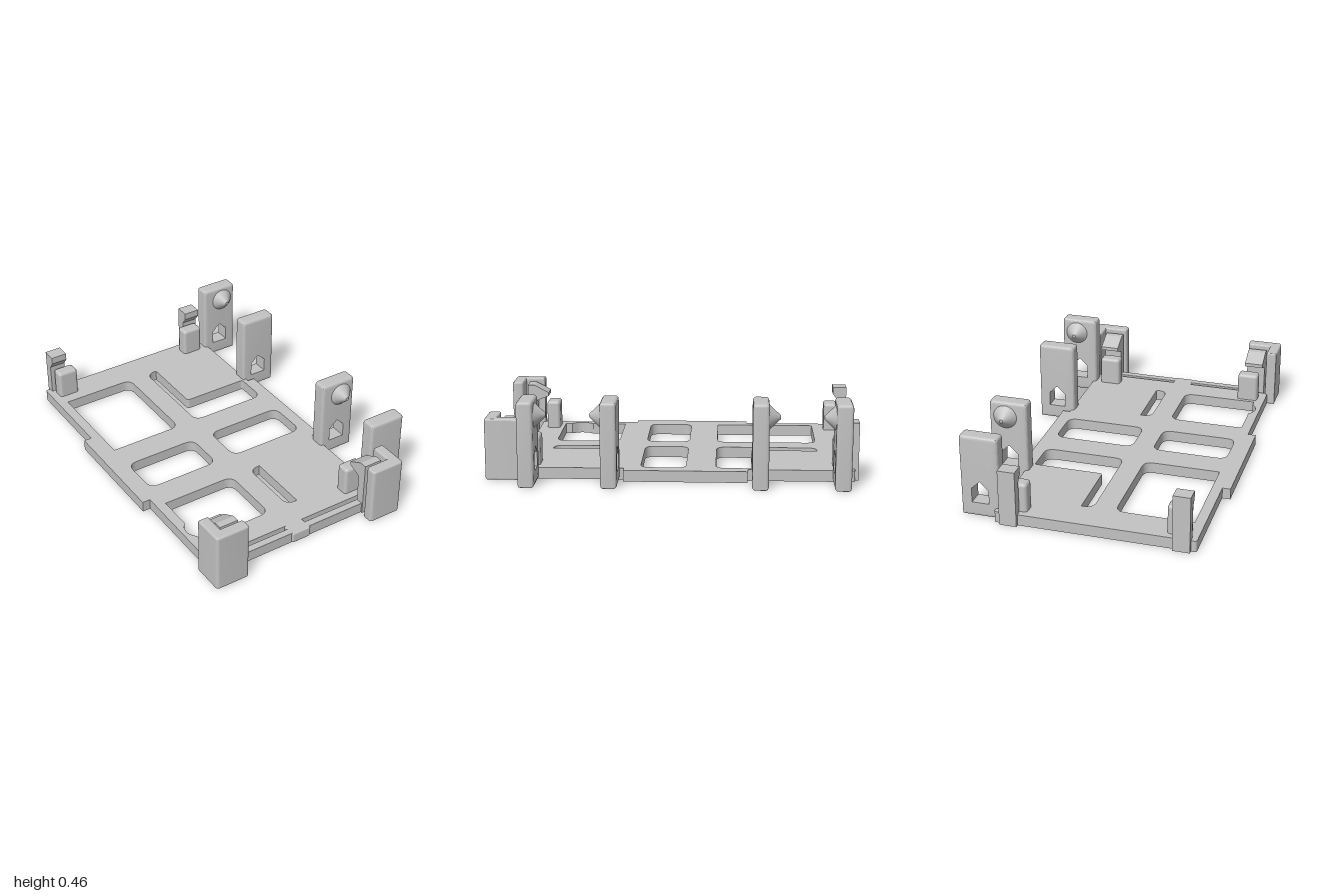
import * as THREE from 'three';
import { toCreasedNormals } from 'three/addons/utils/BufferGeometryUtils.js';
import { RoundedBoxGeometry } from 'three/addons/geometries/RoundedBoxGeometry.js';

const grey = new THREE.MeshStandardMaterial({ color: 0xc2c2c2 });
grey.name = 'grey plastic';

// Trace corners [x, y, radius] into a shape or path
function trace(path, corners) {
  const n = corners.length;
  const toward = (a, b, r) => {
    const d = Math.hypot(b[0] - a[0], b[1] - a[1]);
    return [a[0] + (b[0] - a[0]) * r / d, a[1] + (b[1] - a[1]) * r / d];
  };
  corners.forEach((c, i) => {
    const r = c[2] || 0;
    const p = toward(c, corners[(i + n - 1) % n], r);
    const q = toward(c, corners[(i + 1) % n], r);
    if (i === 0) path.moveTo(...p); else path.lineTo(...p);
    if (r) path.quadraticCurveTo(c[0], c[1], ...q);
  });
  return path;
}

// Smooth the rounded corners only; enlarged meanwhile so tiny edges stay distinct
const crease = (g) => toCreasedNormals(g.scale(100, 100, 100), 0.25).scale(0.01, 0.01, 0.01);

// Extrude with an optional soft edge that stays inside the outline
function slab(shape, depth, bevel = 0) {
  const g = new THREE.ExtrudeGeometry(shape, {
    depth: depth - 2 * bevel, curveSegments: 8, bevelEnabled: bevel > 0,
    bevelSize: bevel, bevelThickness: bevel, bevelOffset: -bevel, bevelSegments: 3,
  });
  return crease(g.translate(0, 0, bevel));
}

// Tower panel: layers of an extrusion are inset towards both faces to round
// the outer edge, while the gabled opening stays straight
function towerPanel(depth, bevel) {
  const [x0, x1, top] = [0.447, 0.659, 0.46];
  const shape = trace(new THREE.Shape(),
    [[x0, 0, 0.005], [x1, 0, 0.005], [x1, top, 0.018], [x0, top, 0.018]]);
  shape.holes.push(trace(new THREE.Path(),
    [[0.505, 0.08], [0.505, 0.16], [0.5525, 0.205], [0.6, 0.16], [0.6, 0.08]]));
  const g = new THREE.ExtrudeGeometry(shape, { depth: 7, steps: 7, curveSegments: 8, bevelEnabled: false });
  const p = g.attributes.position;
  const cx = (x0 + x1) / 2, cy = top / 2;
  for (let i = 0; i < p.count; i++) {
    const x = p.getX(i), y = p.getY(i), layer = Math.round(p.getZ(i));
    const a = Math.min(layer, 7 - layer) / 3 * Math.PI / 2;
    const z = bevel * (1 - Math.cos(a));
    const inset = bevel * (1 - Math.sin(a));
    const inOpening = x > 0.5 && x < 0.605 && y > 0.07 && y < 0.21;
    const k = inOpening ? 0 : inset;
    p.setXYZ(i, cx + (x - cx) * (1 - k / (x1 - cx)), cy + (y - cy) * (1 - k / cy),
      layer < 4 ? z : depth - z);
  }
  return crease(g);
}

// Floor-plan outline in (x, z), raised along y
const plan = (pts) => pts.map(([x, z, r]) => [x, -z, r]);
const rect = (x0, x1, z0, z1, rl, rr) =>
  [[x0, z0, rl], [x1, z0, rr], [x1, z1, rr], [x0, z1, rl]];

export function createModel() {
  const root = new THREE.Group();
  const add = (name, geometry, parent = root) => {
    const mesh = new THREE.Mesh(geometry, grey);
    mesh.name = name;
    parent.add(mesh);
    return mesh;
  };
  const box = (name, x0, x1, y0, y1, z0, z1, r) =>
    add(name, new RoundedBoxGeometry(x1 - x0, y1 - y0, z1 - z0, 3, r))
      .position.set((x0 + x1) / 2, (y0 + y1) / 2, (z0 + z1) / 2);

  // Base plate (outline anticlockwise) with six windows (clockwise)
  const plate = trace(new THREE.Shape(), plan([
    [-0.615, -0.98, 0.015], [-0.615, -0.407], [-0.66, -0.407], [-0.66, 0.258],
    [-0.615, 0.258], [-0.615, 0.835], [0.467, 0.835], [0.467, 0.258],
    [0.51, 0.258], [0.51, -0.407], [0.467, -0.407], [0.467, -0.98, 0.015],
  ]));
  const R = 0.055;
  plate.holes = [
    rect(-0.56, -0.135, -0.80, -0.235, 0, R),
    [[-0.015, -0.80, R], [0.05, -0.80], [0.05, -0.43, 0.015], [0.44, -0.43, 0.015],
      [0.44, -0.235, R], [-0.015, -0.235, R]],
    rect(-0.56, -0.135, -0.075, 0.17, R, R),
    rect(-0.015, 0.44, -0.075, 0.17, R, R),
    [[-0.56, 0.33], [-0.135, 0.33, R], [-0.135, 0.692, R], [-0.56, 0.692],
      [-0.56, 0.655], [-0.588, 0.615, 0.02], [-0.588, 0.565, 0.02], [-0.56, 0.525]],
    rect(-0.015, 0.05, 0.33, 0.692, R, 0),
  ].map((h) => trace(new THREE.Path(), plan(h)));
  add('basePlate', slab(plate, 0.062).rotateX(-Math.PI / 2));

  // Springy front bar and its centre tab
  box('frontBar', -0.56, 0.41, 0, 0.062, 0.86, 0.902, 0.003);
  box('frontTab', -0.132, -0.016, 0, 0.062, 0.80, 0.912, 0.01);

  // L-shaped front corner guards, mirrored about the plate's centre line
  const mid = -0.075;
  for (const s of [-1, 1]) {
    const pts = [[0.585, 0.822, 0.005], [0.585, 1, 0.02], [0.39, 1, 0.02],
      [0.39, 0.935, 0.02], [0.525, 0.935], [0.525, 0.822, 0.005]];
    const outline = trace(new THREE.Shape(), plan(pts.map(([x, z, r]) => [mid + s * x, z, r])));
    add(s < 0 ? 'rightCornerGuard' : 'leftCornerGuard',
      slab(outline, 0.335, 0.01).rotateX(-Math.PI / 2));
  }

  // Support posts near the four corners
  for (const x of [-0.57, 0.298]) {
    for (const z of [-0.943, 0.715]) {
      box('supportPost', x, x + 0.12, 0.02, 0.222, z, z + 0.077, 0.018);
    }
  }

  // Snap hooks, profiles in (z, y)
  const hook = (name, profile, x0, x1) => {
    const g = slab(trace(new THREE.Shape(), profile), x1 - x0);
    add(name, g.rotateY(-Math.PI / 2).translate(x1, 0, 0));
  };
  const frontHook = [[0.86, 0], [0.91, 0], [0.91, 0.315], [0.87, 0.315],
    [0.785, 0.27], [0.785, 0.25], [0.86, 0.22]];
  const backHook = [[-1, 0], [-0.95, 0], [-0.95, 0.235], [-0.92, 0.275],
    [-0.92, 0.315], [-1, 0.315]];
  hook('frontHook', frontHook, -0.585, -0.478);
  hook('frontHook', frontHook, 0.328, 0.432);
  hook('backHook', backHook, -0.585, -0.492);
  hook('backHook', backHook, 0.338, 0.432);

  // Side towers with a gabled opening; a conical stud faces the partner tower
  const towerGeometry = towerPanel(0.087, 0.016);
  const studGeometry = new THREE.CylinderGeometry(0.01, 0.067, 0.06, 32);
  for (const [z, dir] of [[-0.948, 1], [-0.516, -1], [0.281, 1], [0.717, -1]]) {
    const group = new THREE.Group();
    group.name = 'sideTower';
    group.position.z = z;
    add('towerPanel', towerGeometry, group);
    const stud = add('stud', studGeometry, group);
    stud.rotation.x = dir * Math.PI / 2;
    stud.position.set(0.57, 0.375, dir > 0 ? 0.116 : -0.029);
    root.add(group);
  }
  return root;
}
